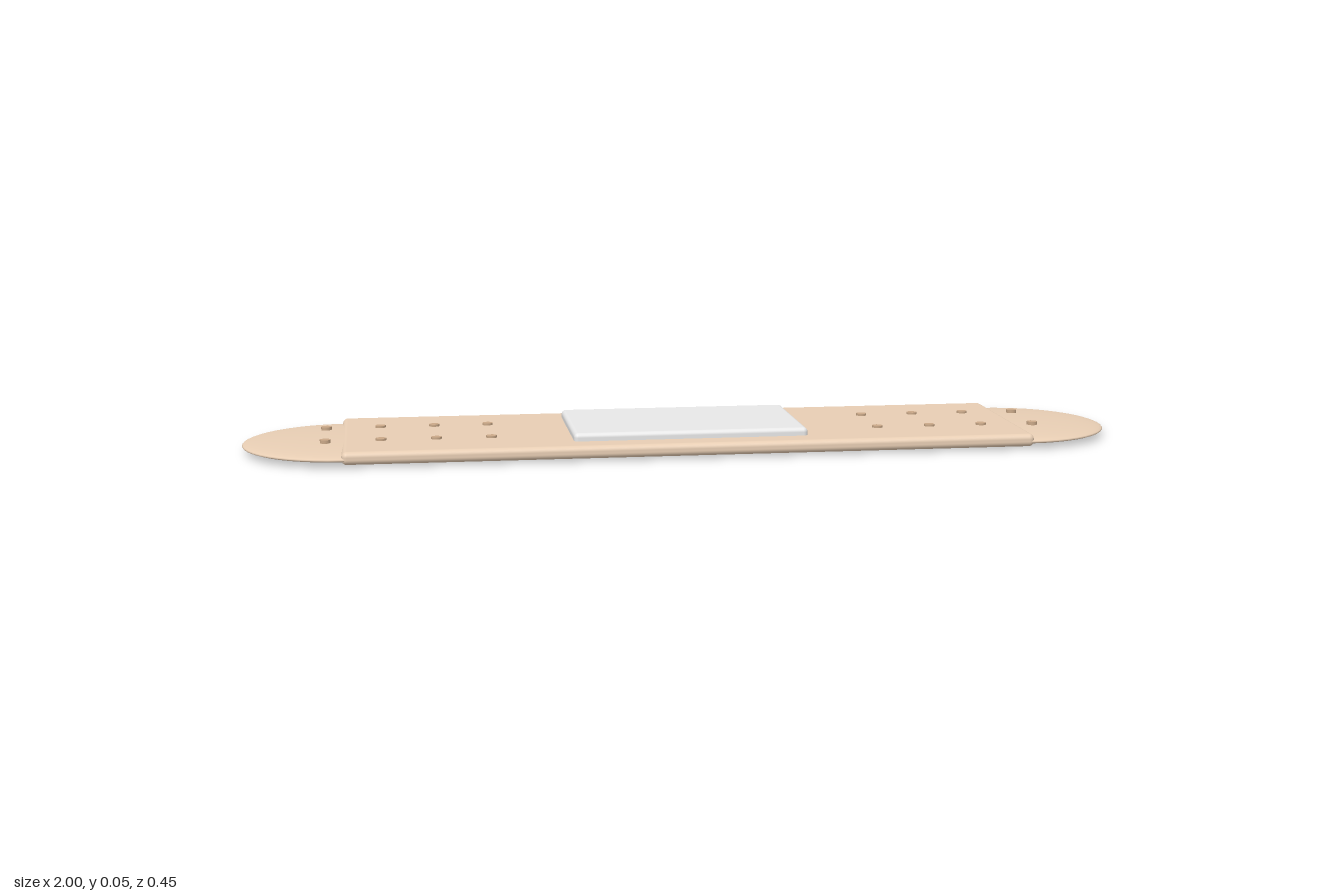
import * as THREE from 'three';
import { RoundedBoxGeometry } from 'three/addons/geometries/RoundedBoxGeometry.js';

export function createModel() {
  const model = new THREE.Group();
  model.name = 'adhesiveBandage';

  const flat = (name, color) => {
    const material = new THREE.MeshStandardMaterial({ color });
    material.name = name;
    return material;
  };
  const skin = flat('skinTan', 0xe8ceb4);
  const white = flat('gauzeWhite', 0xf3f3f3);
  const brown = flat('holeBrown', 0xc9a888);

  const add = (name, geometry, material, x, y, z) => {
    const mesh = new THREE.Mesh(geometry, material);
    mesh.name = name;
    mesh.position.set(x, y, z);
    model.add(mesh);
    return mesh;
  };

  // Long strip with softly rounded edges
  add('strip', new RoundedBoxGeometry(1.554, 0.029, 0.446, 4, 0.012), skin, 0, 0.0198, 0);

  // Flattened round ends
  const endGeometry = new THREE.SphereGeometry(0.223, 48, 24);
  endGeometry.scale(1, 0.0165 / 0.223, 1);
  for (const side of [-1, 1]) {
    add(side > 0 ? 'leftEnd' : 'rightEnd', endGeometry, skin, side * 0.777, 0.0165, 0);
  }

  // Raised gauze pad in the middle
  add('pad', new RoundedBoxGeometry(0.53, 0.028, 0.326, 4, 0.01), white, 0, 0.038, 0);

  // Two rows of four air holes on each half
  const holeGeometry = new THREE.CylinderGeometry(0.012, 0.012, 0.008, 16);
  for (const side of [-1, 1]) {
    for (let i = 0; i < 4; i++) {
      for (const row of [-1, 1]) {
        add('airHole', holeGeometry, brown, side * (0.444 + i * 0.123), 0.035, row * 0.082);
      }
    }
  }
  return model;
}
